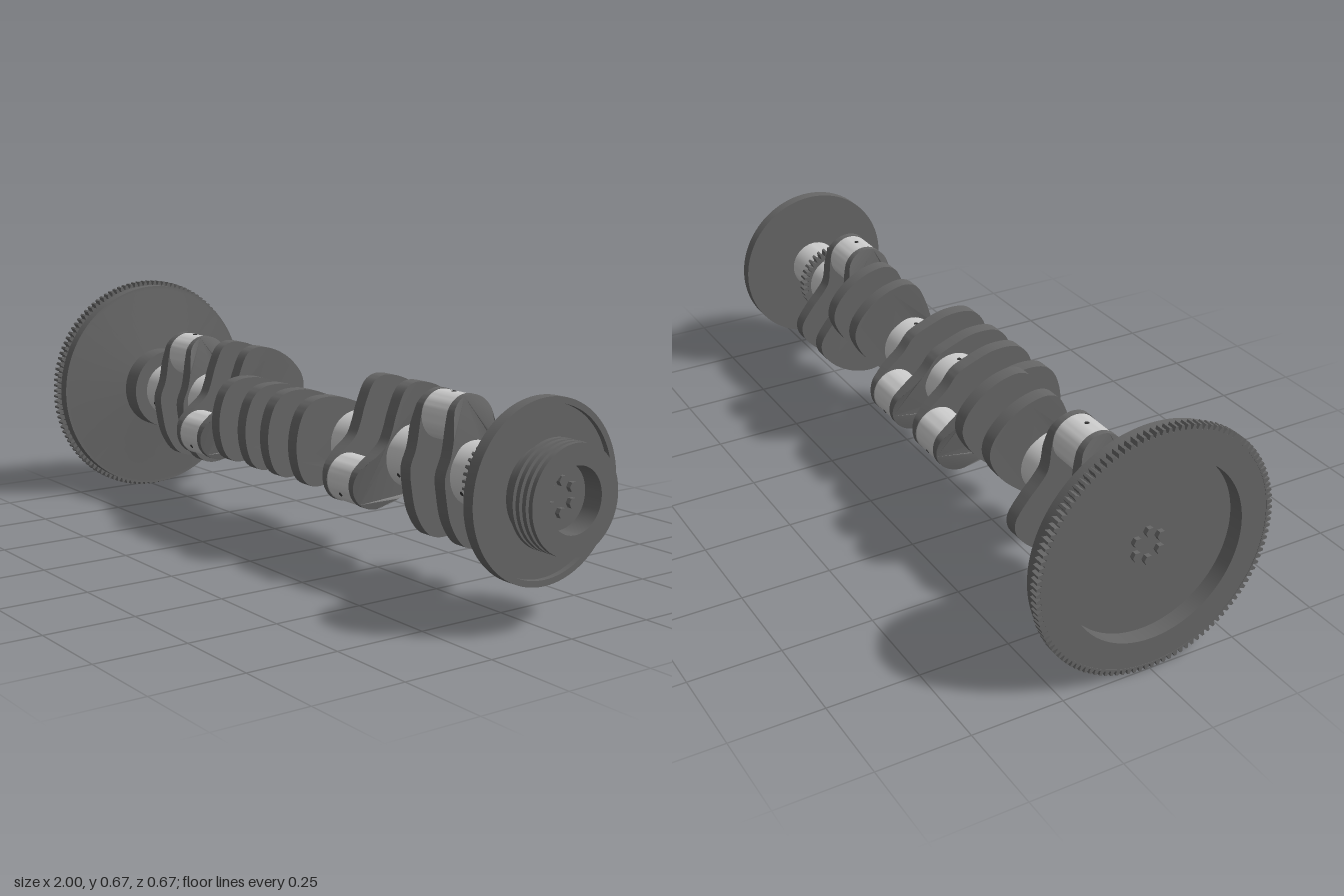
import * as THREE from 'three';
import { toCreasedNormals } from 'three/addons/utils/BufferGeometryUtils.js';

const AXIS_Y = 0.335, PITCH = 0.249, FIRST_PIN = -0.687, THROW = 0.13;
const PIN_R = 0.064, MAIN_R = 0.083, WEB_W = 0.04, WEB_OFF = 0.068;
const FIRING = [0, 120, 240, 240, 120, 0].map(THREE.MathUtils.degToRad);

const bright = new THREE.MeshStandardMaterial({ color: 0xcccccc });
const dark = new THREE.MeshStandardMaterial({ color: 0x666666 });
const black = new THREE.MeshStandardMaterial({ color: 0x333333 });

function add(parent, name, geometry, material) {
  const mesh = new THREE.Mesh(geometry, material);
  mesh.name = name;
  parent.add(mesh);
  return mesh;
}

// Solid of revolution about the x axis, from [x, radius] pairs
function turned(profile, segments = 72) {
  const g = new THREE.LatheGeometry(profile.map(([x, r]) => new THREE.Vector2(r, x)), segments);
  return toCreasedNormals(g.rotateZ(-Math.PI / 2), 0.5);
}

function rod(x0, x1, r) {
  return turned([[x0, 0], [x0, r], [x1, r], [x1, 0]], 48);
}

// Extrude a shape (x = -z, y = y) along the x axis
function plate(shape, x0, width) {
  const g = new THREE.ExtrudeGeometry(shape, { depth: width, bevelEnabled: false, curveSegments: 48 });
  return g.rotateY(Math.PI / 2).translate(x0, 0, 0);
}

function gear(x0, width, teeth, root, tip, hole) {
  const pts = [], step = (Math.PI * 2) / teeth;
  for (let i = 0; i < teeth; i++) {
    for (const [f, r] of [[0, root], [0.2, root], [0.42, tip], [0.78, tip]]) {
      const a = (i + f) * step;
      pts.push(new THREE.Vector2(r * Math.cos(a), r * Math.sin(a)));
    }
  }
  const shape = new THREE.Shape(pts);
  shape.holes.push(new THREE.Path().absarc(0, 0, hole, 0, Math.PI * 2, true));
  return plate(shape, x0, width);
}

// Web outline: rounded pin end and an offset counterweight
function webShape() {
  const pts = [];
  for (let d = -90; d <= 90; d += 30) {
    const a = THREE.MathUtils.degToRad(d);
    pts.push(new THREE.Vector2(-0.066 * Math.sin(a), THROW + 0.066 * Math.cos(a)));
  }
  const polar = [[-122, 0.094], [-90, 0.098], [-60, 0.108], [-32, 0.145], [-12, 0.184], [0, 0.195],
    [15, 0.196], [30, 0.196], [45, 0.196], [58, 0.194], [68, 0.18], [84, 0.132], [104, 0.1], [126, 0.094]];
  for (const [d, r] of polar) {
    const a = THREE.MathUtils.degToRad(d);
    pts.push(new THREE.Vector2(r * Math.sin(a), -r * Math.cos(a)));
  }
  const loop = new THREE.CatmullRomCurve3(pts.map(p => new THREE.Vector3(p.x, p.y, 0)), true);
  return new THREE.Shape(loop.getPoints(110).slice(0, -1).map(p => new THREE.Vector2(p.x, p.y)));
}

// side -1 or +1: the outer face slopes inwards beside the pin
function web(shape, side) {
  const g = plate(shape, -WEB_W / 2, WEB_W), p = g.attributes.position;
  for (let i = 0; i < p.count; i++) {
    const over = Math.max(0, p.getY(i) - 0.1);
    if (p.getX(i) * side > 0) p.setX(i, p.getX(i) - side * over * 0.24);
  }
  g.translate(side * WEB_OFF, 0, 0);
  g.computeVertexNormals();
  return toCreasedNormals(g, 0.5);
}

function boltCircle(parent, x, radius) {
  for (let i = 0; i < 6; i++) {
    const a = (i * Math.PI) / 3;
    const g = new THREE.CylinderGeometry(0.0135, 0.0135, 0.016, 6).toNonIndexed();
    g.computeVertexNormals();
    g.rotateZ(Math.PI / 2);
    add(parent, 'bolt', g, dark).position.set(x, radius * Math.cos(a), radius * Math.sin(a));
  }
}

function oilHole(parent, x, y, angle) {
  const holder = new THREE.Group();
  holder.name = 'oilHole';
  holder.rotation.x = angle;
  add(holder, 'oilHoleDisc', new THREE.CylinderGeometry(0.006, 0.006, 0.004, 16), black).position.set(x, y, 0);
  parent.add(holder);
}

export function createModel() {
  const model = new THREE.Group();
  model.name = 'crankshaft';
  const shaft = new THREE.Group();
  shaft.name = 'shaft';
  shaft.position.y = AXIS_Y;
  model.add(shaft);

  // Flywheel with recessed rear, ring gear and mounting flange
  add(shaft, 'flywheel', turned([[-0.955, 0], [-0.955, 0.245], [-0.999, 0.245], [-0.999, 0.322],
    [-0.94, 0.322], [-0.94, 0.312], [-0.915, 0.123], [-0.915, 0]], 120), dark);
  add(shaft, 'ringGear', gear(-1, 0.027, 120, 0.322, 0.335, 0.318), dark);
  boltCircle(shaft, -0.96, 0.039);
  add(shaft, 'rearFlange', rod(-0.92, -0.85, 0.123), dark);

  // Six throws: two webs and a pin each
  const outline = webShape();
  FIRING.forEach((angle, i) => {
    const crank = new THREE.Group();
    crank.name = 'throw' + (i + 1);
    crank.position.x = FIRST_PIN + i * PITCH;
    crank.rotation.x = angle;
    for (const side of [-1, 1]) add(crank, 'web', web(outline, side), dark);
    add(crank, 'crankPin', rod(-0.055, 0.055, PIN_R), bright).position.y = THROW;
    oilHole(crank, 0, THROW + PIN_R - 0.001, 0);
    shaft.add(crank);
  });

  // Main journals between the throws and at both ends
  for (let i = 0; i <= 6; i++) {
    const mid = FIRST_PIN + (i - 0.5) * PITCH;
    const x0 = i === 0 ? -0.86 : mid - 0.042;
    const x1 = i === 6 ? 0.725 : mid + 0.042;
    add(shaft, 'mainJournal', rod(x0, x1, MAIN_R), bright);
    oilHole(shaft, mid, MAIN_R - 0.001, 0);
    oilHole(shaft, mid, MAIN_R - 0.001, THREE.MathUtils.degToRad(115));
  }

  // Front end: timing gear, nose, damper and grooved pulley
  add(shaft, 'timingGear', gear(0.72, 0.026, 36, 0.092, 0.107, 0.06), dark);
  add(shaft, 'nose', rod(0.72, 0.875, 0.073), bright);
  add(shaft, 'damper', turned([[0.869, 0], [0.869, 0.23], [0.902, 0.23], [0.902, 0.214],
    [0.887, 0.214], [0.887, 0]], 96), dark);
  const pulley = [[0.88, 0], [0.88, 0.115], [0.922, 0.115]];
  for (let i = 0; i < 4; i++) {
    const x = 0.922 + i * 0.022;
    pulley.push([x, 0.137], [x + 0.012, 0.137]);
    if (i < 3) pulley.push([x + 0.015, 0.112], [x + 0.019, 0.112]);
  }
  pulley.push([1, 0.137], [1, 0.083], [0.945, 0.083], [0.945, 0]);
  add(shaft, 'pulley', turned(pulley), dark);
  boltCircle(shaft, 0.95, 0.039);
  return model;
}
